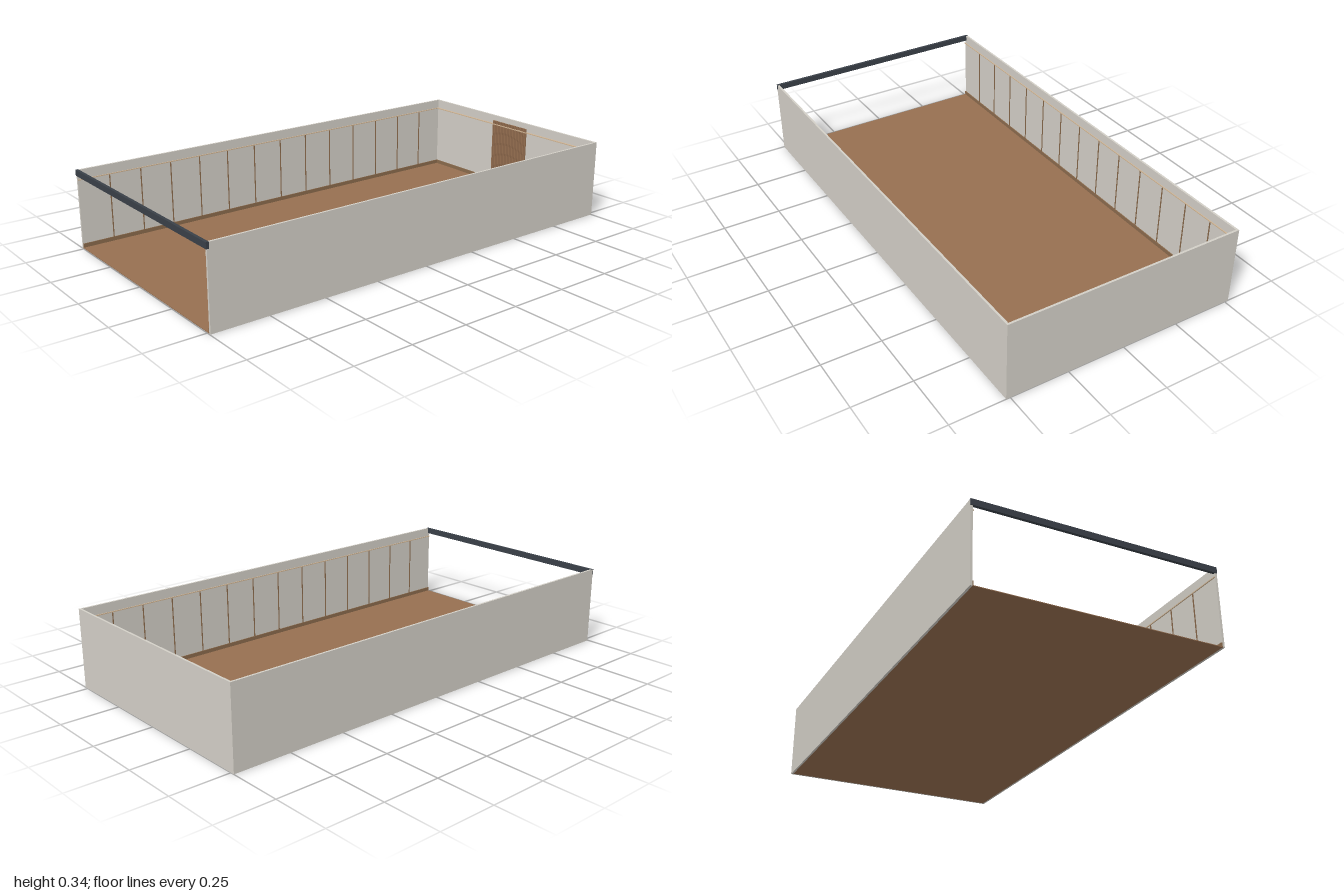
import * as THREE from 'three';

const mat = (color) => new THREE.MeshStandardMaterial({ color });

export function createModel() {
  const room = new THREE.Group();
  room.name = 'openFrontRoom';

  const plaster = mat(0xd2cec6), wood = mat(0x966f50), dark = mat(0x3a4048);
  const trim = mat(0x8a6a4c), pale = mat(0xd0b595);

  // Box given by its min and max corners
  const box = (name, material, x0, x1, y0, y1, z0, z1, parent = room) => {
    const mesh = new THREE.Mesh(new THREE.BoxGeometry(x1 - x0, y1 - y0, z1 - z0), material);
    mesh.position.set((x0 + x1) / 2, (y0 + y1) / 2, (z0 + z1) / 2);
    mesh.name = name;
    parent.add(mesh);
  };
  // Box on a side wall, at distances a..b from the centre line
  const sideBox = (name, material, s, a, b, y0, y1, z0, z1, parent) =>
    box(name, material, Math.min(s * a, s * b), Math.max(s * a, s * b), y0, y1, z0, z1, parent);

  const W = 0.517, H = 0.34, inner = 0.508, back = -0.991, front = 0.997;

  // Shell, open at the front and top
  box('floor', wood, -inner, inner, 0, 0.003, back, front);
  box('backWall', plaster, -W, W, 0, H, -1, back);
  box('frontHeader', dark, -W, W, 0.315, H + 0.0005, 0.988, 1);

  // Back wall trim
  box('backBaseboard', trim, -inner, inner, 0.003, 0.02, back, back + 0.004);
  box('backRail', pale, -inner, inner, 0.296, 0.3, back, back + 0.009);

  // Side walls with baseboard, rail and evenly spaced battens
  for (const s of [1, -1]) {
    const side = new THREE.Group();
    side.name = s > 0 ? 'leftSide' : 'rightSide';
    room.add(side);
    sideBox('sideWall', plaster, s, inner, W, 0, H, back, front, side);
    sideBox('sideBaseboard', trim, s, inner - 0.004, inner, 0.003, 0.02, back, front, side);
    sideBox('sideRail', pale, s, inner - 0.004, inner, 0.296, 0.3, back, front, side);
    for (let k = -6; k <= 6; k++) {
      const z = k / 7;
      sideBox('batten', trim, s, inner - 0.003, inner, 0.02, 0.296, z - 0.002, z + 0.002, side);
    }
  }

  // Vertical slat feature on the back wall
  const slats = new THREE.Group();
  slats.name = 'slatFeature';
  room.add(slats);
  const count = 22, pitch = 0.01;
  for (let i = 0; i < count; i++) {
    const x = (i - (count - 1) / 2) * pitch;
    box('slat', wood, x - 0.003, x + 0.003, 0.042, 0.315, back, back + 0.007, slats);
  }
  return room;
}
